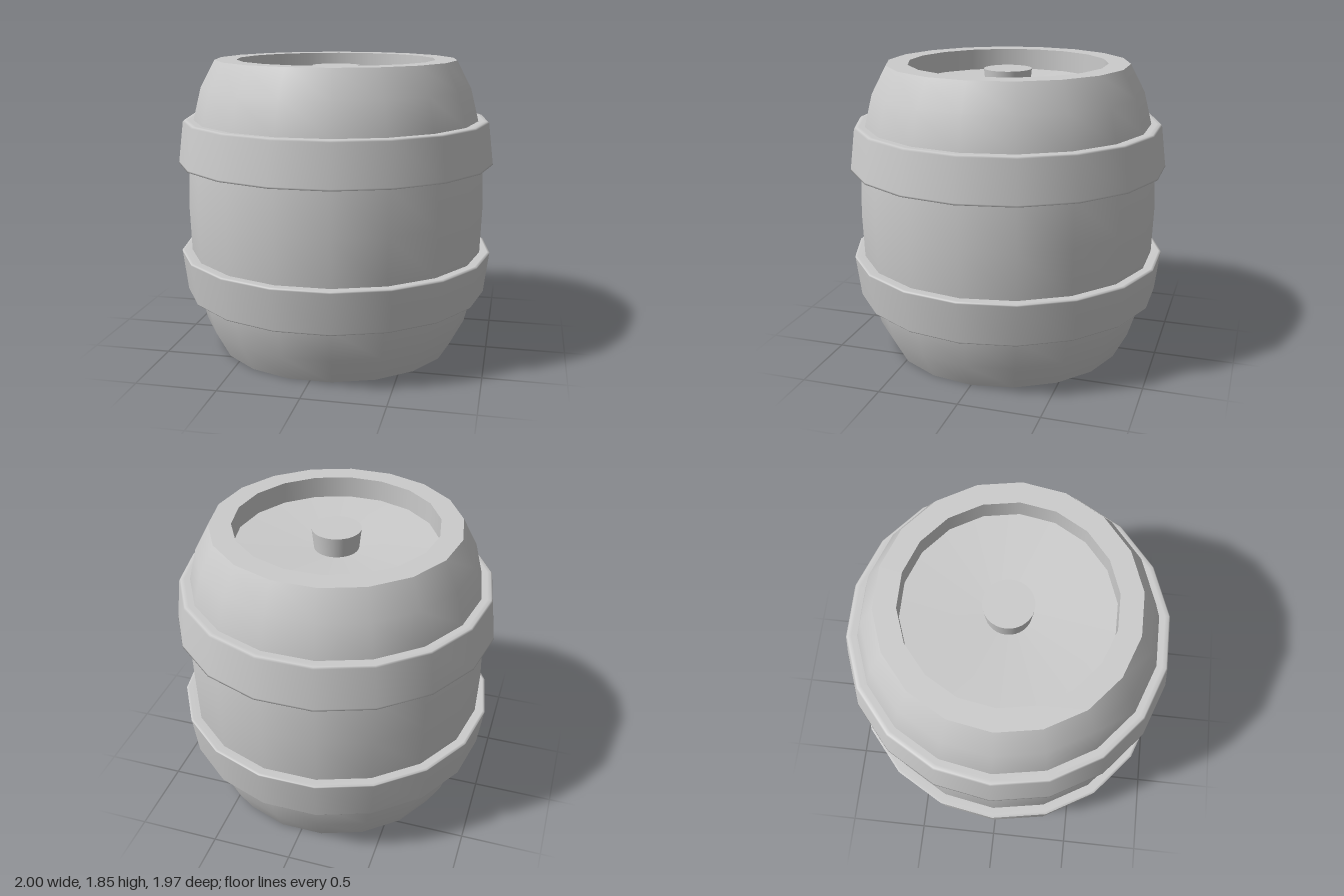
import * as THREE from 'three';

const SIDES = 18;
const MID = 0.925; // half of the total height
const material = new THREE.MeshStandardMaterial({ color: 0xcccccc });

// Smooth surface of revolution; profile points are [radius, y]
function turned(name, profile, sides = SIDES) {
  const points = profile.map(([r, y]) => new THREE.Vector2(r, y));
  const mesh = new THREE.Mesh(new THREE.LatheGeometry(points, sides, Math.PI / 2), material);
  mesh.name = name;
  return mesh;
}

// Several turned surfaces with sharp edges between them
function turnedGroup(name, sections, sides = SIDES) {
  const group = new THREE.Group();
  group.name = name;
  for (const [part, profile] of Object.entries(sections)) group.add(turned(part, profile, sides));
  return group;
}

export function createModel() {
  const barrel = new THREE.Group();
  barrel.name = 'barrel';

  // Bulging staves, symmetrical about the middle
  const lower = [[0.76, 0], [0.85, 0.17], [0.9, 0.37], [0.935, 0.64]];
  const upper = lower.map(([r, y]) => [r, 2 * MID - y]).reverse();
  barrel.add(turnedGroup('body', {
    bottom: [[0, 0], [0.76, 0]],
    staves: [...lower, [0.945, MID], ...upper],
    rim: [[0.76, 1.85], [0.625, 1.85]],
    rimWall: [[0.625, 1.85], [0.625, 1.715]],
    lid: [[0.625, 1.715], [0, 1.675]],
  }));

  // Flared hoops with softened edges, wide end towards the middle
  const hoop = [
    [0.885, 0.372], [0.935, 0.37], [0.958, 0.37], [0.967, 0.38],
    [0.998, 0.63], [1, 0.64], [0.985, 0.643], [0.915, 0.638],
  ];
  barrel.add(turned('lowerHoop', hoop));
  barrel.add(turned('upperHoop', hoop.map(([r, y]) => [r, 2 * MID - y]).reverse()));

  // Tapered bung in the lid
  barrel.add(turnedGroup('bung', {
    bungSide: [[0.135, 1.67], [0.15, 1.81]],
    bungTop: [[0.15, 1.81], [0, 1.81]],
  }, 32));

  return barrel;
}
